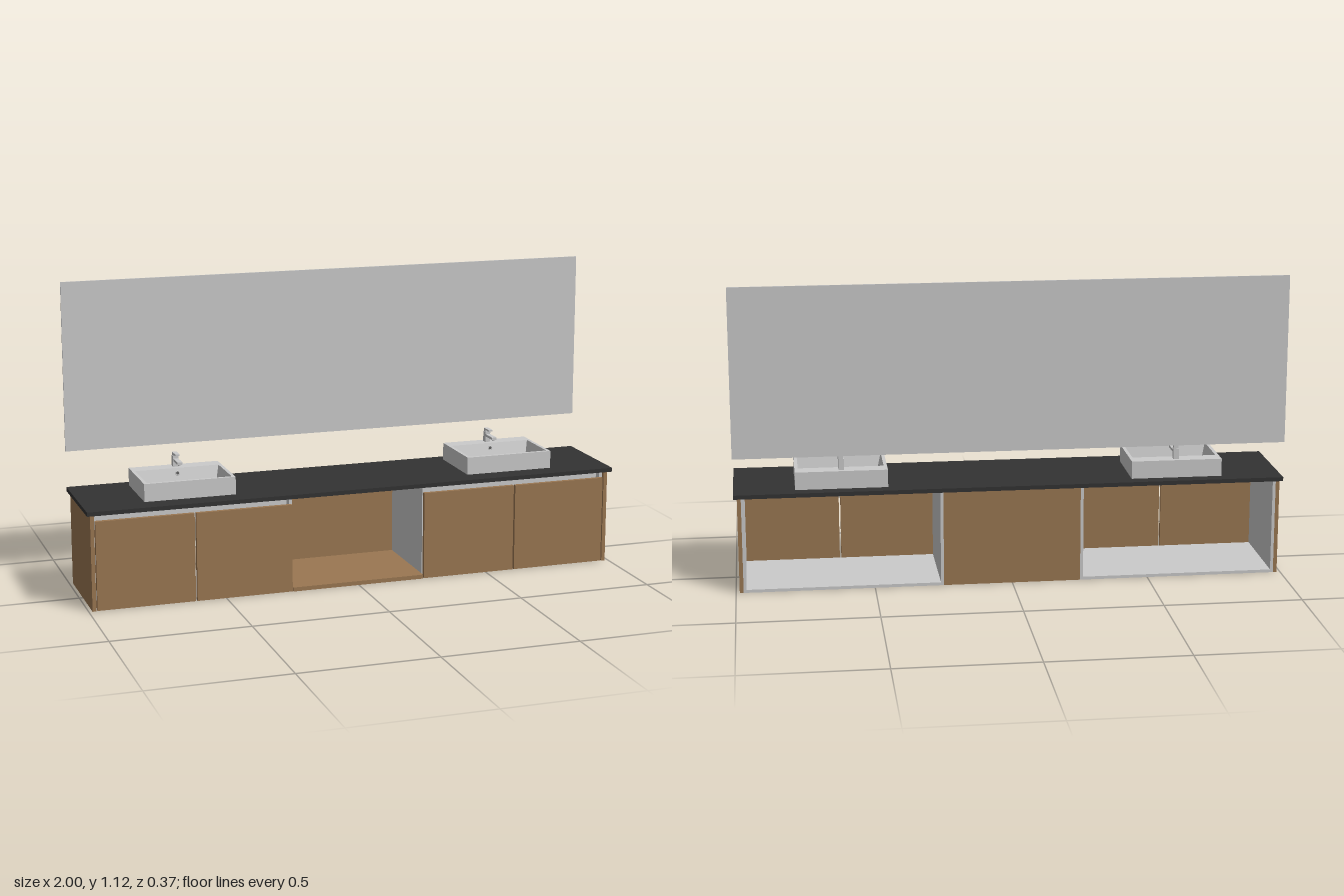
import * as THREE from 'three';

const wood = new THREE.MeshStandardMaterial({ color: 0x9a7752 });
wood.name = 'wood';
const stone = new THREE.MeshStandardMaterial({ color: 0x333333 });
stone.name = 'dark stone';
const pale = new THREE.MeshStandardMaterial({ color: 0xcbcbcb });
pale.name = 'pale grey';
const shade = new THREE.MeshStandardMaterial({ color: 0x555555 });
shade.name = 'drain grey';

// Box given by its low and high corner
function box(parent, name, mat, x0, x1, y0, y1, z0, z1) {
  const mesh = new THREE.Mesh(new THREE.BoxGeometry(x1 - x0, y1 - y0, z1 - z0), mat);
  mesh.position.set((x0 + x1) / 2, (y0 + y1) / 2, (z0 + z1) / 2);
  mesh.name = name;
  parent.add(mesh);
  return mesh;
}

function cylinder(parent, name, mat, r, h, x, y, z) {
  const mesh = new THREE.Mesh(new THREE.CylinderGeometry(r, r, h, 20), mat);
  mesh.position.set(x, y, z);
  mesh.name = name;
  parent.add(mesh);
  return mesh;
}

// Flat-shaded loft through rectangular rings [halfWidth, y, zBack, zFront], capped at both ends
function rectLoft(rings) {
  const loops = rings.map(([w, y, zb, zf]) => [[-w, y, zf], [w, y, zf], [w, y, zb], [-w, y, zb]]);
  const pos = [];
  const quad = (a, b, c, d) => [a, b, c, a, c, d].forEach((p) => pos.push(...p));
  for (let i = 0; i < loops.length - 1; i++) {
    for (let k = 0; k < 4; k++) {
      const n = (k + 1) % 4;
      quad(loops[i][k], loops[i][n], loops[i + 1][n], loops[i + 1][k]);
    }
  }
  quad(...[...loops[0]].reverse());
  quad(...loops[loops.length - 1]);
  const geo = new THREE.BufferGeometry();
  geo.setAttribute('position', new THREE.Float32BufferAttribute(pos, 3));
  geo.computeVertexNormals();
  return geo;
}

// Open-backed cabinet with two doors; s = +1 or -1 for the side
function cabinet(s) {
  const g = new THREE.Group();
  g.name = s > 0 ? 'leftCabinet' : 'rightCabinet';
  const part = (name, mat, a, b, ...rest) =>
    box(g, name, mat, Math.min(s * a, s * b), Math.max(s * a, s * b), ...rest);
  part('outerPanel', wood, 0.973, 0.987, 0, 0.35, -0.183, 0.17);
  part('innerWall', pale, 0.25, 0.261, 0, 0.35, -0.183, 0.154);
  part('outerWall', pale, 0.962, 0.973, 0, 0.35, -0.183, 0.154);
  part('floor', pale, 0.261, 0.962, 0, 0.011, -0.183, 0.154);
  // Recessed grip rail above the doors
  part('gripRailBack', pale, 0.261, 0.962, 0.29, 0.35, 0.115, 0.125);
  part('gripRailFoot', pale, 0.261, 0.962, 0.29, 0.30, 0.125, 0.154);
  part('innerDoor', wood, 0.253, 0.607, 0.001, 0.325, 0.155, 0.17);
  part('outerDoor', wood, 0.613, 0.969, 0.001, 0.325, 0.155, 0.17);
  return g;
}

function washbasin(x) {
  const g = new THREE.Group();
  g.name = 'washbasin';
  const bowl = new THREE.Mesh(rectLoft([
    [0.167, 0.365, -0.139, 0.11],
    [0.167, 0.43, -0.139, 0.11],
    [0.155, 0.43, -0.083, 0.098],
    [0.143, 0.38, -0.066, 0.086],
  ]), pale);
  bowl.name = 'bowl';
  g.add(bowl);
  // Drain and overflow
  cylinder(g, 'drainRim', pale, 0.013, 0.004, 0, 0.382, 0.008);
  cylinder(g, 'drainHole', shade, 0.008, 0.002, 0, 0.3845, 0.008);
  const overflow = new THREE.Mesh(new THREE.TorusGeometry(0.007, 0.002, 8, 20), pale);
  overflow.name = 'overflowRing';
  overflow.position.set(0, 0.412, -0.076);
  overflow.rotation.x = -0.33;
  g.add(overflow);
  const hole = cylinder(g, 'overflowHole', shade, 0.006, 0.002, 0, 0.412, -0.0765);
  hole.rotation.x = Math.PI / 2 - 0.33;
  // Mixer tap
  const tap = new THREE.Group();
  tap.name = 'tap';
  box(tap, 'tapBody', pale, -0.01, 0.01, 0.43, 0.47, -0.122, -0.101);
  box(tap, 'tapSpout', pale, -0.009, 0.009, 0.452, 0.461, -0.101, -0.036);
  cylinder(tap, 'tapOutlet', pale, 0.006, 0.004, 0, 0.45, -0.044);
  box(tap, 'tapNeck', pale, -0.008, 0.008, 0.47, 0.476, -0.12, -0.103);
  box(tap, 'tapLever', pale, -0.008, 0.008, 0.476, 0.482, -0.122, -0.073);
  g.add(tap);
  g.position.x = x;
  return g;
}

export function createModel() {
  const model = new THREE.Group();
  model.name = 'doubleVanity';
  box(model, 'countertop', stone, -1, 1, 0.35, 0.365, -0.185, 0.185);
  box(model, 'mirror', pale, -1, 1, 0.498, 1.115, -0.185, -0.18);
  // Open niche between the cabinets
  box(model, 'nicheFloor', wood, -0.25, 0.25, 0, 0.015, -0.183, 0.17);
  box(model, 'nicheBack', wood, -0.25, 0.25, 0.015, 0.35, -0.183, -0.169);
  for (const s of [-1, 1]) {
    model.add(cabinet(s));
    model.add(washbasin(s * 0.612));
  }
  return model;
}
